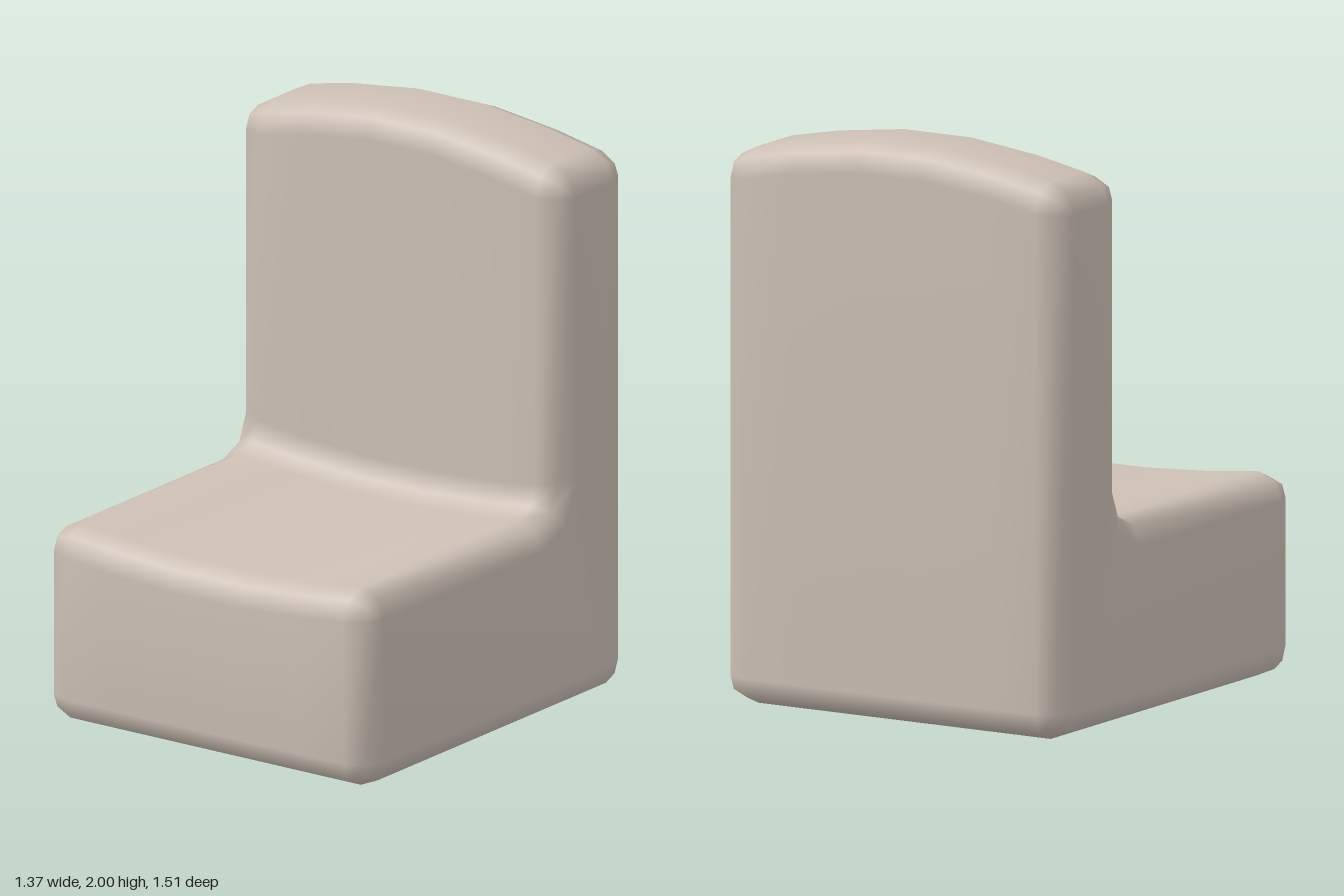
import * as THREE from 'three';
import { mergeVertices } from 'three/addons/utils/BufferGeometryUtils.js';

const R = 0.1; // edge rounding
const STEPS = 2; // facets per rounded edge

// L-shaped profile as [z, y], shrunk by d, running bottom back > front > seat > back top
function profile(d, seat, top) {
  const pts = [];
  const arc = (z, y, r, start, turn) => {
    for (let i = 0; i <= STEPS; i++) {
      const a = (start + (turn * i) / STEPS) * Math.PI / 180;
      pts.push([z + r * Math.cos(a), y + r * Math.sin(a)]);
    }
  };
  const r = R - d;
  arc(-0.655, R, r, 180, 90); // bottom back
  arc(0.655, R, r, 270, 90); // bottom front
  arc(0.655, seat - R, r, 0, 90); // seat front
  arc(-0.245, seat + R, R + d, 270, -90); // hollow between seat and back
  arc(-0.445, top - R, r, 0, 90); // top front
  arc(-0.655, top - R, r, 90, 90); // top back
  return pts;
}

function bodyGeometry() {
  // Half the width: [x, inset, seat height, top height]
  const half = [
    [0.685, R, 0.71, 1.925],
    [0.656, 0.029, 0.71, 1.925],
    [0.587, 0, 0.708, 1.93],
    [0.4, 0, 0.687, 1.967],
    [0.135, 0, 0.672, 2],
  ];
  const stations = [
    ...half.map(([x, ...rest]) => [-x, ...rest]),
    ...half.slice().reverse(),
  ];

  const positions = [];
  const index = [];
  let n = 0;
  for (const [x, inset, seat, top] of stations) {
    const ring = profile(inset, seat, top);
    n = ring.length;
    for (const [z, y] of ring) positions.push(x, y, z);
  }

  // Skin between neighbouring sections
  for (let s = 0; s < stations.length - 1; s++) {
    for (let i = 0; i < n; i++) {
      const a = s * n + i, b = s * n + (i + 1) % n;
      index.push(a, b + n, b, a, a + n, b + n);
    }
  }
  // Flat sides
  const last = (stations.length - 1) * n;
  for (let i = 1; i < n - 1; i++) {
    index.push(0, i, i + 1, last, last + i + 1, last + i);
  }

  const geometry = new THREE.BufferGeometry();
  geometry.setAttribute('position', new THREE.Float32BufferAttribute(positions, 3));
  geometry.setIndex(index);
  const merged = mergeVertices(geometry, 1e-4);
  merged.computeVertexNormals();
  return merged;
}

export function createModel() {
  const upholstery = new THREE.MeshStandardMaterial({ color: 0xcdc0b6 });
  upholstery.name = 'warm grey upholstery';

  const group = new THREE.Group();
  group.name = 'chair';
  const body = new THREE.Mesh(bodyGeometry(), upholstery);
  body.name = 'seatAndBack';
  group.add(body);
  return group;
}
